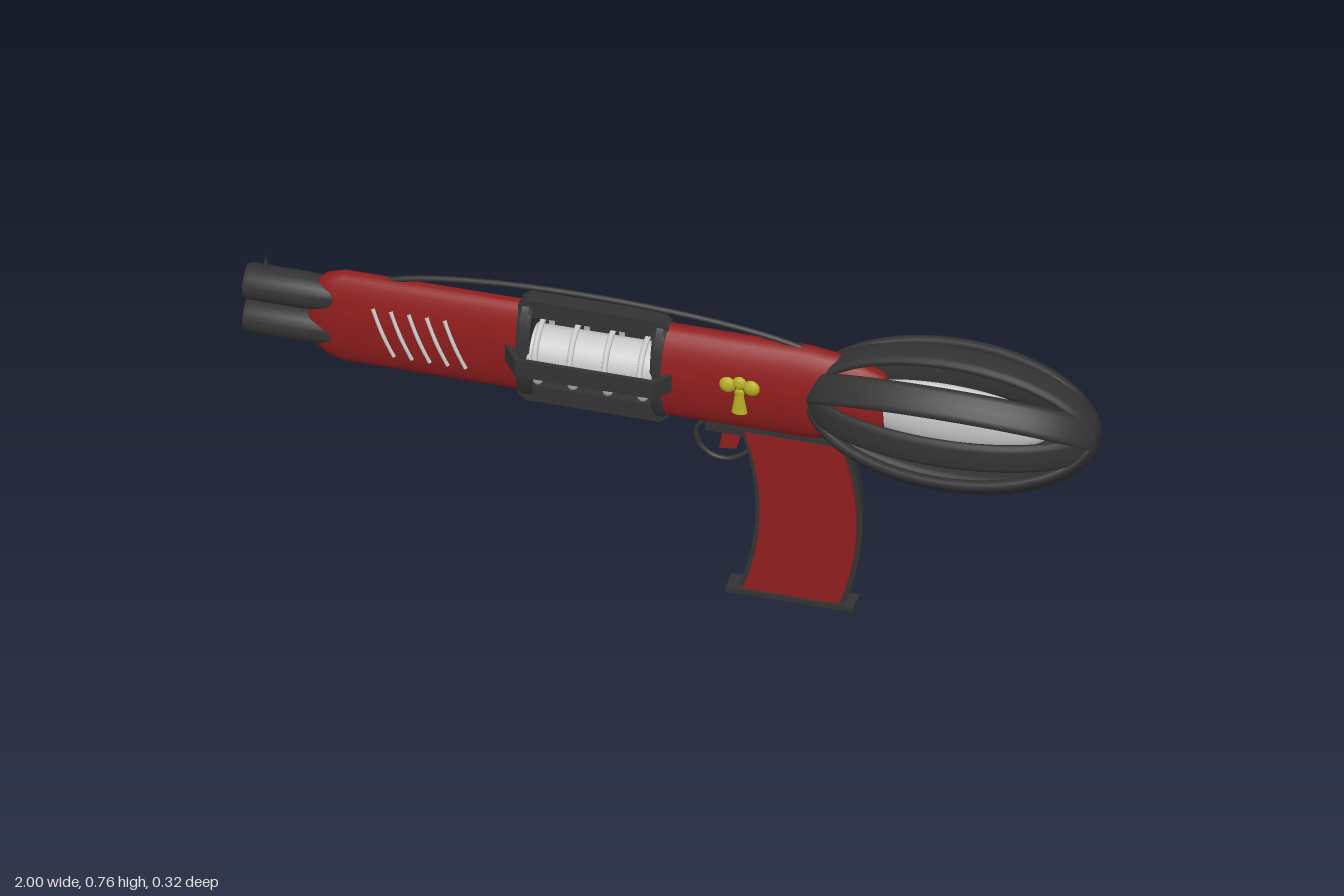
import * as THREE from 'three';
import { toCreasedNormals } from 'three/addons/utils/BufferGeometryUtils.js';
import { ParametricGeometry } from 'three/addons/geometries/ParametricGeometry.js';

const mat = (color) => new THREE.MeshStandardMaterial({ color });
const red = mat(0x8f1d1d), dark = mat(0x333333), grey = mat(0xcccccc), yellow = mat(0xb5ad22);
const AXIS = 0.585; // height of the body axis
const V = (x, y, z = 0) => new THREE.Vector3(x, y, z);

export function createModel() {
  const model = new THREE.Group();

  function add(name, geometry, material, x = 0, y = 0, z = 0) {
    const mesh = new THREE.Mesh(geometry, material);
    mesh.name = name;
    mesh.position.set(x, y, z);
    model.add(mesh);
    return mesh;
  }

  // Turned solid along x from [x, radius] pairs, squashed in z
  function turned(profile, squash = 1, segments = 32) {
    const g = new THREE.LatheGeometry(profile.map(([x, r]) => new THREE.Vector2(r, x)), segments);
    g.rotateZ(-Math.PI / 2).scale(1, 1, squash);
    return toCreasedNormals(g, 0.6);
  }

  const tube = (points, r, n = 40) =>
    new THREE.TubeGeometry(new THREE.CatmullRomCurve3(points), n, r, 8);

  // Flat plate centred on z = 0
  function plate(shape, depth) {
    const g = new THREE.ExtrudeGeometry(shape, { depth, bevelEnabled: false, curveSegments: 20 });
    return toCreasedNormals(g.translate(0, 0, -depth / 2), 0.6);
  }

  // Body halves
  add('frontBody', turned([[-0.85, 0], [-0.85, 0.06], [-0.84, 0.085], [-0.81, 0.112],
    [-0.77, 0.125], [-0.35, 0.125], [-0.35, 0]], 0.33), red, 0, AXIS);
  add('rearBody', turned([[-0.02, 0], [-0.02, 0.125], [0.32, 0.125], [0.38, 0.117],
    [0.45, 0.1], [0.49, 0.085], [0.5, 0.075], [0.5, 0]], 0.44), red, 0, AXIS);

  // Twin barrels, tapering into the body, with a sight on the upper one
  for (const y of [0.545, 0.638]) {
    add('barrel', turned([[-1, 0], [-1, 0.04], [-0.99, 0.043], [-0.86, 0.043],
      [-0.8, 0.038], [-0.72, 0.012], [-0.72, 0]], 1, 24), dark, 0, y);
  }
  add('sight', new THREE.ConeGeometry(0.01, 0.045, 10), dark, -0.955, 0.694);

  // Slanted vent slats and ornament on both sides
  for (const s of [-1, 1]) {
    for (let i = 0; i < 5; i++) {
      const x = -0.695 + i * 0.042;
      add('ventSlat', tube([V(x, 0.645, s * 0.036), V(x + 0.025, 0.58, s * 0.041),
        V(x + 0.05, 0.518, s * 0.035)], 0.005, 10), grey);
    }
    for (const [x, y, r] of [[0.142, 0.607, 0.021], [0.198, 0.607, 0.021], [0.17, 0.615, 0.018], [0.17, 0.59, 0.014]]) {
      add('ornamentLobe', new THREE.SphereGeometry(r, 12, 8), yellow, x, y, s * 0.05).scale.z = 0.7;
    }
    add('ornamentStem', new THREE.CylinderGeometry(0.011, 0.019, 0.05, 10), yellow, 0.17, 0.56, s * 0.053).scale.z = 0.6;
  }

  // Chamber: collars, core, rings and four bent straps
  for (const x of [-0.34, -0.025]) {
    add('chamberCollar', turned([[-0.016, 0], [-0.016, 0.125], [-0.008, 0.133],
      [0.008, 0.133], [0.016, 0.125], [0.016, 0]], 0.42), dark, x, AXIS);
  }
  add('chamberCore', turned([[-0.34, 0], [-0.34, 0.055], [-0.02, 0.055], [-0.02, 0]]), grey, 0, AXIS);
  for (let i = 0; i < 4; i++) {
    const ring = add('chamberRing', new THREE.TorusGeometry(0.078, 0.007, 8, 32), grey, -0.305 + i * 0.082, AXIS);
    ring.rotation.y = Math.PI / 2;
  }
  const poly = (pts) => new THREE.Shape(pts.map(([x, y]) => new THREE.Vector2(x, y)));
  const sideStrap = poly([[-0.392, 0.03], [-0.38, 0.045], [-0.345, 0.093], [-0.02, 0.093], [0.015, 0.05],
    [0.015, 0.03], [-0.028, 0.082], [-0.337, 0.082], [-0.37, 0.035]]);
  const mainStrap = poly([[-0.358, 0.095], [-0.358, 0.125], [-0.34, 0.141], [-0.025, 0.141],
    [-0.007, 0.125], [-0.007, 0.095], [-0.03, 0.085], [-0.045, 0.096], [-0.32, 0.096], [-0.335, 0.085]]);
  for (const s of [1, -1]) {
    add('sideStrap', plate(sideStrap, 0.045), dark, 0, AXIS).rotation.x = s * Math.PI / 2;
    add(s > 0 ? 'topStrap' : 'bottomStrap', plate(mainStrap, 0.04), dark, 0, AXIS).rotation.x = s > 0 ? 0 : Math.PI;
  }

  // Cable arching over the body
  add('cable', tube([V(-0.68, 0.7), V(-0.6, 0.722), V(-0.42, 0.745), V(-0.2, 0.752),
    V(0.05, 0.742), V(0.22, 0.722), V(0.34, 0.695)], 0.007), dark);

  // Cage of four elliptical bands crossing on the axis, around a flat bulb
  const a = 0.331, b = 0.16;
  const band = new ParametricGeometry((u, v, out) => {
    const t = u * Math.PI * 2, p = v * Math.PI * 2;
    const c = Math.cos(p), s = Math.sin(p);
    const n = new THREE.Vector2(Math.cos(t) / a, Math.sin(t) / b).normalize();
    const w = 0.037 * Math.sign(c) * Math.sqrt(Math.abs(c)), h = 0.014 * s;
    out.set(a * Math.cos(t) + n.x * h, b * Math.sin(t) + n.y * h, -w);
  }, 64, 16);
  band.computeVertexNormals();
  const bandMat = dark.clone();
  bandMat.side = THREE.DoubleSide;
  for (let i = 0; i < 4; i++) {
    const m = add('cageBand', band, bandMat, 0.655, AXIS);
    m.rotation.x = i * Math.PI / 4;
    if (i === 2) m.scale.y = 0.92;
  }
  add('bulb', new THREE.SphereGeometry(1, 32, 20), grey, 0.64, AXIS).scale.set(0.25, 0.08, 0.035);

  // Grip: curved panel with dark spines at the front and back
  const strip = (x0, x1) => {
    const sh = new THREE.Shape();
    sh.moveTo(0.155 + x0, 0.01);
    sh.quadraticCurveTo(0.235 + x0, 0.23, 0.16 + x0, 0.455);
    sh.lineTo(0.16 + x1, 0.455);
    sh.quadraticCurveTo(0.235 + x1, 0.23, 0.155 + x1, 0.01);
    return sh;
  };
  add('gripPanel', plate(strip(0.012, 0.238), 0.042), red);
  add('gripFrontSpine', plate(strip(0, 0.02), 0.024), dark);
  add('gripBackSpine', plate(strip(0.23, 0.25), 0.024), dark);
  add('gripBase', new THREE.BoxGeometry(0.3, 0.013, 0.054), dark, 0.28, 0.0065);
  add('gripMount', new THREE.BoxGeometry(0.34, 0.025, 0.04), dark, 0.25, 0.455);

  // Trigger and its guard
  add('trigger', plate(poly([[0.12, 0.45], [0.11, 0.39], [0.15, 0.395], [0.165, 0.45]]), 0.018), red);
  add('triggerGuard', tube([V(0.075, 0.46), V(0.055, 0.43), V(0.06, 0.39), V(0.09, 0.362),
    V(0.13, 0.358), V(0.165, 0.378), V(0.185, 0.4)], 0.006, 30), dark);

  return model;
}
